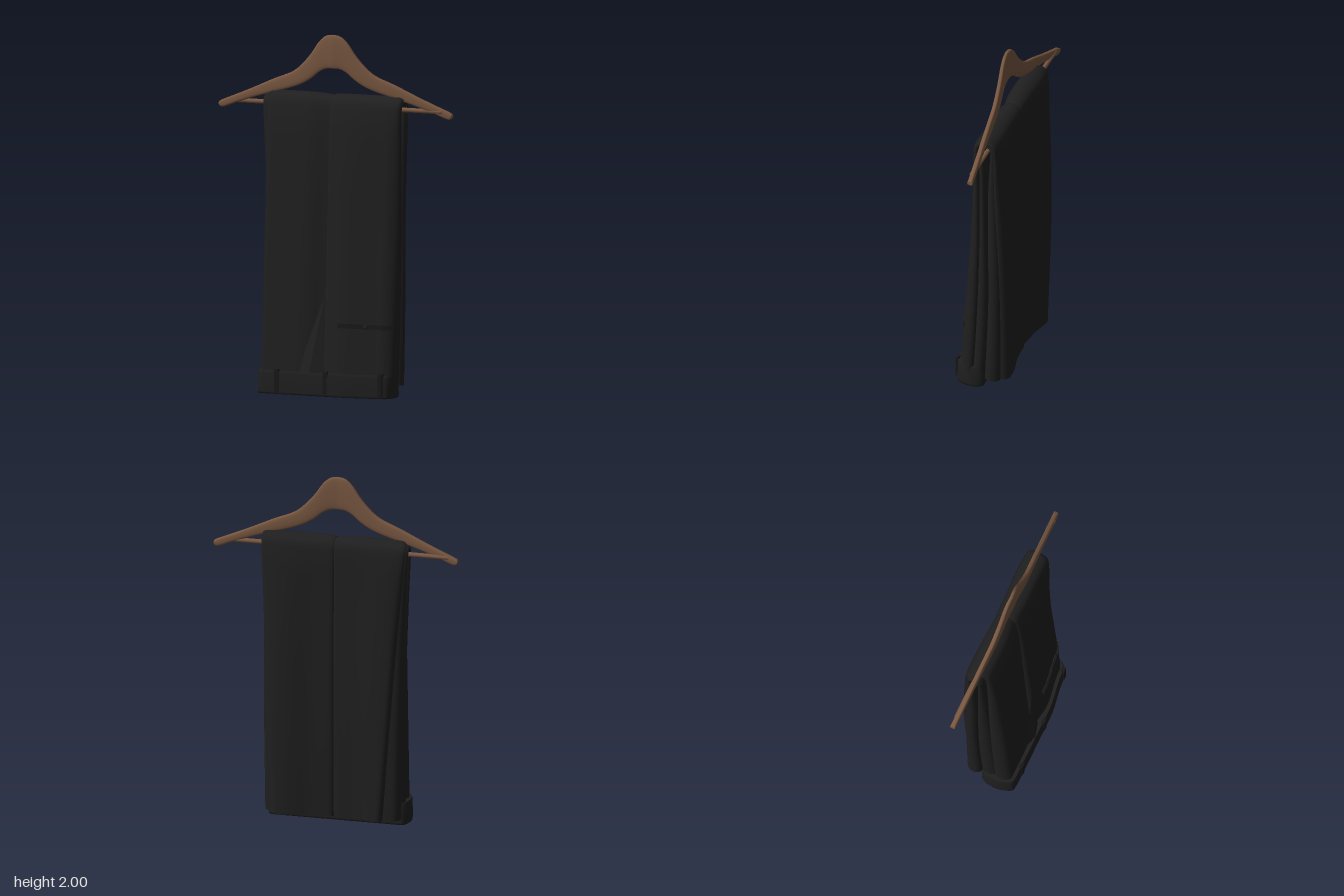
import * as THREE from 'three';

const fabric = new THREE.MeshStandardMaterial({ color: 0x1f1f1f });
fabric.name = 'black fabric';
const trim = new THREE.MeshStandardMaterial({ color: 0x181818 });
trim.name = 'dark trim';
const wood = new THREE.MeshStandardMaterial({ color: 0x775640 });
wood.name = 'brown wood';

const { lerp, smoothstep } = THREE.MathUtils;

// Skin a list of rings (arrays of [x, y, z]) and cap both ends
function loft(rings) {
  const n = rings[0].length, pos = [], idx = [];
  rings.forEach(r => r.forEach(p => pos.push(...p)));
  for (let i = 0; i < rings.length - 1; i++) {
    for (let j = 0; j < n; j++) {
      const a = i * n + j, b = i * n + (j + 1) % n;
      idx.push(a, a + n, b, b, a + n, b + n);
    }
  }
  [rings[0], rings[rings.length - 1]].forEach((r, end) => {
    const base = pos.length / 3;
    const mid = [0, 1, 2].map(k => r.reduce((s, p) => s + p[k], 0) / n);
    r.forEach(p => pos.push(...p));
    pos.push(...mid);
    for (let j = 0; j < n; j++) {
      const a = base + j, b = base + (j + 1) % n;
      idx.push(base + n, end ? b : a, end ? a : b);
    }
  });
  const g = new THREE.BufferGeometry();
  g.setAttribute('position', new THREE.Float32BufferAttribute(pos, 3));
  g.setIndex(idx);
  g.computeVertexNormals();
  return g;
}

// Flat section with rounded ends: [x, v], v from -1 to 1
function flatSection(x0, x1, r) {
  const pts = [], arc = 8, straight = 18;
  for (const side of [1, -1]) {
    const cx = side > 0 ? x1 - r : x0 + r;
    for (let i = 0; i <= arc; i++) {
      const a = -Math.PI / 2 + Math.PI * i / arc;
      pts.push([cx + side * r * Math.cos(a), side * Math.sin(a)]);
    }
    const far = side > 0 ? x0 + r : x1 - r;
    for (let i = 1; i < straight; i++) pts.push([lerp(cx, far, i / straight), side]);
  }
  return pts;
}

const curve = pts => new THREE.CatmullRomCurve3(pts.map(([z, y]) => new THREE.Vector3(0, y, z)));
const rounded = (v, e) => Math.sign(v) * Math.abs(v) ** e;

// How far the front falls back towards the sides
const hip = x => 0.028 * smoothstep(x, 0.1, 0.34) + 0.03 * smoothstep(x, 0.34, 0.42)
  + 0.025 * smoothstep(-x, 0.35, 0.41);
// Share of thickness lost on the back: hollow centre, thin edges
const hollow = x => 0.24 * (1 - smoothstep(Math.abs(x), 0.1, 0.28)) + 0.25 * smoothstep(Math.abs(x), 0.31, 0.43);

export function createModel() {
  const model = new THREE.Group();
  const add = (name, geo, mat, x = 0, y = 0, z = 0) => {
    const m = new THREE.Mesh(geo, mat);
    m.name = name;
    m.position.set(x, y, z);
    model.add(m);
    return m;
  };

  // Hanger: top and bottom edges by distance from the middle
  const edge = [
    [0, 2, 1.81], [0.04, 1.993, 1.808], [0.08, 1.962, 1.79], [0.13, 1.892, 1.75], [0.18, 1.835, 1.72],
    [0.24, 1.785, 1.695], [0.36, 1.735, 1.66], [0.5, 1.672, 1.618], [0.6, 1.63, 1.583],
    [0.68, 1.597, 1.556], [0.695, 1.588, 1.566]];
  const half = new THREE.CatmullRomCurve3(edge.map(e => new THREE.Vector3(...e)));
  const hangerRings = [];
  for (let i = -40; i <= 40; i++) {
    const { x, y: top, z: bottom } = half.getPoint(Math.abs(i) / 40);
    const zc = -0.024 - (i < 0 ? 0.053 : 0.072) * x;
    hangerRings.push(Array.from({ length: 28 }, (_, j) => {
      const a = j / 28 * Math.PI * 2;
      return [x * Math.sign(i), (top + bottom) / 2 + rounded(Math.sin(a), 0.85) * (top - bottom) / 2,
        zc + rounded(Math.cos(a), 0.5) * 0.015];
    }));
  }
  add('hanger', loft(hangerRings), wood);
  const bar = add('trouserBar', new THREE.CylinderGeometry(0.013, 0.013, 1.28, 16), wood, 0, 1.598, -0.064);
  bar.rotation.z = Math.PI / 2;

  // Drape of the trousers over the bar, front waist to back hem
  const outer = curve([
    [0.14, 0.1], [0.128, 0.3], [0.105, 0.65], [0.08, 1], [0.055, 1.35], [0.03, 1.56], [0.002, 1.645],
    [-0.055, 1.672], [-0.11, 1.645], [-0.133, 1.56], [-0.15, 1.35], [-0.165, 1], [-0.17, 0.6], [-0.168, 0.055]]);
  const inner = curve([
    [-0.035, 0.1], [-0.048, 0.3], [-0.058, 0.65], [-0.055, 1], [-0.05, 1.35], [-0.046, 1.56], [-0.05, 1.605],
    [-0.064, 1.616], [-0.078, 1.605], [-0.076, 1.56], [-0.064, 1.35], [-0.06, 1], [-0.062, 0.6], [-0.04, 0.06]]);

  // Each leg is two folded layers side by side with its twin;
  // h is the height from 0 to 1, back is 0 in front of the bar and 1 behind
  const layers = [
    {
      name: 'outer', lo: 0.44, hi: () => 1, sink: 1,
      left: (h, back) => lerp(-0.378, lerp(-0.28, -0.41, h), back),
      right: (h, back) => lerp(0.41 + 0.008 * h, lerp(0.355, 0.418, h), back),
    },
    {
      name: 'inner', lo: 0, hi: back => 0.52 + 0.22 * back, sink: 0,
      left: h => -0.378 - 0.045 * h * h,
      right: h => 0.4 + 0.01 * h,
    }];
  for (const layer of layers) {
    for (const side of [-1, 1]) {
      const rings = [];
      for (let i = 0; i <= 72; i++) {
        const s = i / 72, o = outer.getPoint(s), n = inner.getPoint(s), h = o.y / 1.67;
        const back = smoothstep(s, 0.45, 0.6);
        const relief = smoothstep(Math.abs(s - 0.5), 0.04, 0.3);
        const x0 = side < 0 ? layer.left(h, back) : -0.004;
        const x1 = side < 0 ? 0.004 : layer.right(h, back);
        rings.push(flatSection(x0, x1, 0.03).map(([x, v]) => {
          // the cloth sinks towards the centre crease
          const depth = (side < 0 ? 0.24 : 0.08) * layer.sink * (1 - 0.6 * back);
          const dip = Math.max(v, 0) * depth * Math.exp(-((x / 0.08) ** 2));
          const t = (lerp(layer.lo, layer.hi(back), (v + 1) / 2) - dip) * (1 - hollow(x) * back * relief);
          return [x, lerp(n.y, o.y, t), lerp(n.z, o.z, t) - hip(x) * t * (1 - back) * relief];
        }));
      }
      add(`${layer.name}${side < 0 ? 'Right' : 'Left'}Leg`, loft(rings), fabric);
    }
  }

  // Waistband, hollow below
  const bandRings = [[0.86, 0.06], [0.93, 0.014], [0.98, 0.005], [1, 0.016], [0.99, 0.07], [0.975, 0.12], [0.93, 0.132]]
    .map(([k, y]) => flatSection(-0.4, 0.41, 0.035)
      .map(([x, v]) => [0.005 + (x - 0.005) * (0.8 + 0.2 * k), y, 0.065 + v * 0.1 * k - hip(x) * (v + 1) / 2]));
  add('waistband', loft(bandRings), fabric);
  for (const z of [0.025, 0.07]) {
    add('waistLining', new THREE.BoxGeometry(0.7, 0.06, 0.008), trim, 0, 0.045, z);
  }

  // Belt loops
  for (const x of [-0.26, 0.03, 0.35]) {
    add('beltLoop', new THREE.BoxGeometry(0.024, 0.125, 0.01), trim, x, 0.08, 0.164 - hip(x));
    add('beltLoopEnd', new THREE.BoxGeometry(0.028, 0.02, 0.014), trim, x, 0.135, 0.156 - hip(x));
  }

  // Fly fold beside the centre crease
  const fold = new THREE.BufferGeometry();
  fold.setAttribute('position', new THREE.Float32BufferAttribute([
    -0.15, 0.13, 0.132, 0.004, 0.13, 0.134, 0.004, 0.56, 0.1, -0.07, 0.13, 0.154], 3));
  fold.setIndex([0, 3, 2, 3, 1, 2, 0, 1, 3]);
  const flat = fold.toNonIndexed();
  flat.computeVertexNormals();
  add('flyFold', flat, fabric);

  // Welt pocket with a button, following the hip
  const pocket = new THREE.Group();
  pocket.name = 'pocket';
  pocket.position.set(0.24, 0.4, 0.122);
  pocket.rotation.x = -0.07;
  model.add(pocket);
  const strip = (name, height, depth, mat, y, z) => {
    const g = new THREE.BoxGeometry(0.3, height, depth, 20, 1, 1), p = g.attributes.position;
    for (let i = 0; i < p.count; i++) p.setZ(i, p.getZ(i) - hip(p.getX(i) + 0.24));
    g.computeVertexNormals();
    pocket.add(add(name, g, mat, 0, y, z));
  };
  strip('pocketWelt', 0.042, 0.008, trim, 0, 0.001);
  for (const y of [-0.017, 0.017]) strip('pocketEdge', 0.008, 0.012, fabric, y, 0.002);
  const button = new THREE.SphereGeometry(0.014, 14, 8);
  button.scale(1, 1, 0.4);
  pocket.add(add('pocketButton', button, fabric, 0.01, 0, 0.006 - hip(0.25)));

  return model;
}
